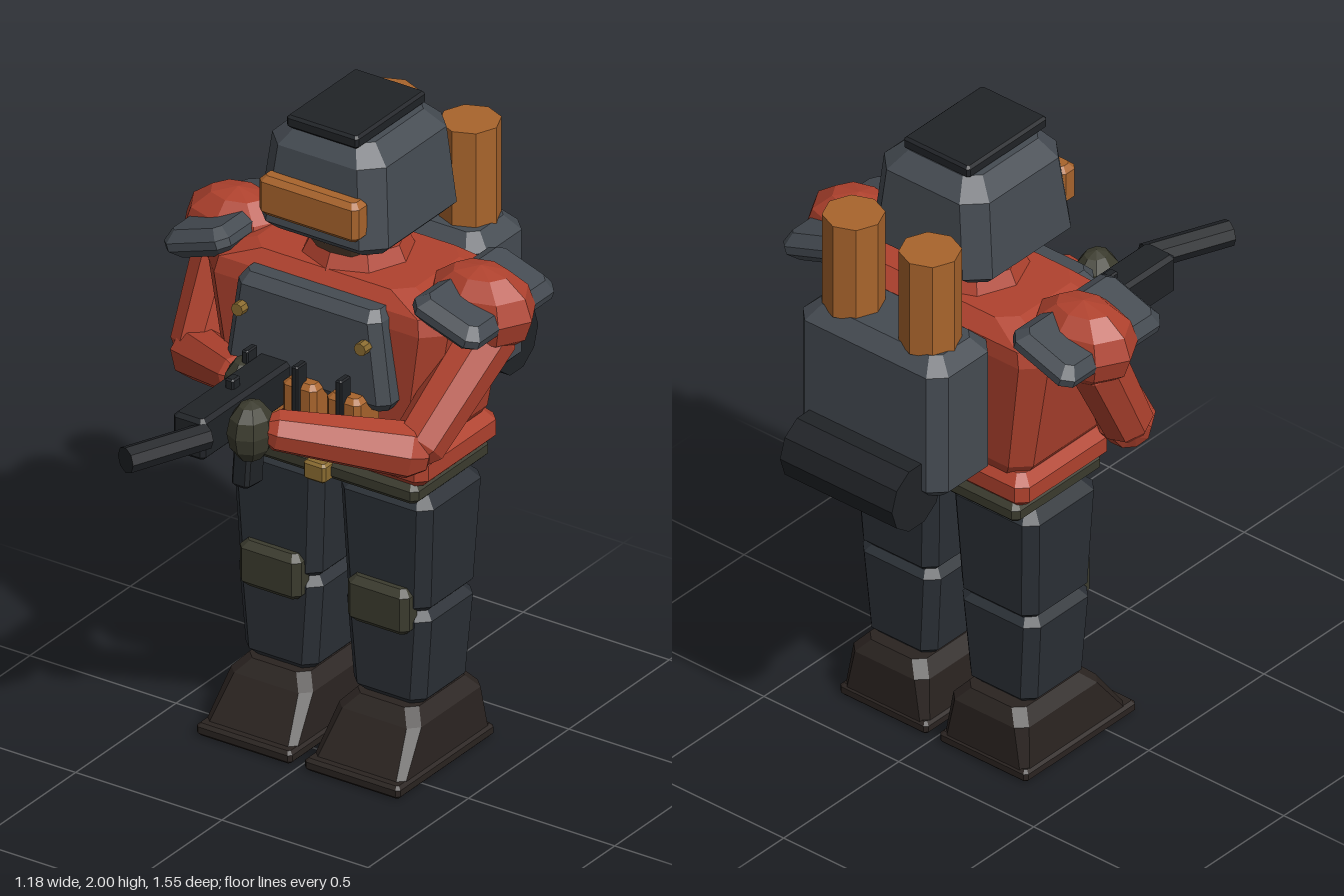
import * as THREE from 'three';

const mat = (color) => new THREE.MeshStandardMaterial({ color, flatShading: true, roughness: 0.85 });
const RED = mat(0xb0422e), GREY = mat(0x454b52), PANTS = mat(0x2b3036), BOOT = mat(0x2a2320);
const OLIVE = mat(0x3b3b2e), DARK = mat(0x202327), ORANGE = mat(0xa8642c), BRASS = mat(0x8a6b30), SKIN = mat(0x5a4433);

// Stacks chamfered rectangles: each ring is [y, xMin, xMax, zMin, zMax, cornerCut]
function loft(rings) {
  const loops = rings.map(([y, x0, x1, z0, z1, c]) => [
    [x1, z0 + c], [x1, z1 - c], [x1 - c, z1], [x0 + c, z1],
    [x0, z1 - c], [x0, z0 + c], [x0 + c, z0], [x1 - c, z0],
  ].map(([x, z]) => [x, y, z]));
  const pos = [];
  const tri = (...p) => p.forEach((v) => pos.push(...v));
  for (let r = 0; r + 1 < loops.length; r++) {
    for (let i = 0; i < 8; i++) {
      const j = (i + 1) % 8, lo = loops[r], hi = loops[r + 1];
      tri(lo[i], hi[i], hi[j]);
      tri(lo[i], hi[j], lo[j]);
    }
  }
  const bottom = loops[0], top = loops[loops.length - 1];
  for (let i = 1; i < 7; i++) {
    tri(bottom[0], bottom[i], bottom[i + 1]);
    tri(top[0], top[i + 1], top[i]);
  }
  const g = new THREE.BufferGeometry();
  g.setAttribute('position', new THREE.Float32BufferAttribute(pos, 3));
  g.computeVertexNormals();
  return g;
}

// Bevelled block tapering between a bottom and a top rectangle [xMin, xMax, zMin, zMax]
function block(y0, y1, b, t, c) {
  const inset = ([x0, x1, z0, z1]) => [x0 + c, x1 - c, z0 + c, z1 - c];
  return loft([
    [y0, ...inset(b), c * 0.6], [y0 + c, ...b, c],
    [y1 - c, ...t, c], [y1, ...inset(t), c * 0.6],
  ]);
}

// Bevelled box centred on the origin
const box = (w, h, d, c) => {
  const r = [-w / 2, w / 2, -d / 2, d / 2];
  return block(-h / 2, h / 2, r, r, c);
};

export function createModel() {
  const model = new THREE.Group();
  const add = (name, geo, material, x = 0, y = 0, z = 0) => {
    const m = new THREE.Mesh(geo, material);
    m.name = name;
    m.position.set(x, y, z);
    model.add(m);
    return m;
  };
  // Eight-sided limb segment with bevelled ends
  const limb = (name, a, b, ra, rb) => {
    const A = new THREE.Vector3(...a), B = new THREE.Vector3(...b);
    const len = A.distanceTo(B);
    const profile = [
      [0, -ra * 0.75], [ra * 0.65, -ra * 0.6], [ra, 0],
      [rb, len], [rb * 0.65, len + rb * 0.5], [0, len + rb * 0.6],
    ].map(([r, y]) => new THREE.Vector2(r, y));
    const m = add(name, new THREE.LatheGeometry(profile, 8), RED, ...a);
    m.quaternion.setFromUnitVectors(new THREE.Vector3(0, 1, 0), B.sub(A).normalize());
  };

  // Legs
  for (const s of [-1, 1]) {
    const leg = new THREE.Group();
    leg.name = s < 0 ? 'rightLeg' : 'leftLeg';
    leg.position.x = s * 0.185;
    model.add(leg);
    const part = (name, geo, material) => {
      const m = new THREE.Mesh(geo, material);
      m.name = name;
      leg.add(m);
    };
    const sole = [-0.163, 0.163, -0.355, 0.127];
    part('sole', block(0, 0.04, sole, sole, 0.01), BOOT);
    part('boot', loft([
      [0.035, -0.155, 0.155, -0.35, 0.1, 0.02], [0.165, -0.14, 0.14, -0.345, 0.01, 0.03],
      [0.205, -0.105, 0.105, -0.315, -0.03, 0.03],
    ]), BOOT);
    part('shin', block(0.195, 0.52, [-0.125, 0.125, -0.295, -0.035], [-0.145, 0.145, -0.305, -0.03], 0.035), PANTS);
    part('thigh', block(0.495, 0.885, [-0.142, 0.142, -0.31, -0.03], [-0.158, 0.158, -0.325, -0.02], 0.035), PANTS);
    part('kneePad', block(0.445, 0.59, [-0.105, 0.105, -0.07, 0.008], [-0.105, 0.105, -0.07, 0.008], 0.02), OLIVE);
  }

  // Hips, belt and buckle
  add('hips', box(0.5, 0.08, 0.26, 0.02), PANTS, 0, 0.885, -0.18);
  add('belt', box(0.65, 0.065, 0.38, 0.018), OLIVE, 0, 0.91, -0.18);
  add('buckle', box(0.075, 0.06, 0.05, 0.008), BRASS, 0, 0.91, 0.02);

  // Jacket
  add('jacketHem', box(0.71, 0.11, 0.395, 0.03), RED, 0, 0.99, -0.18);
  add('torso', loft([
    [1.02, -0.31, 0.31, -0.35, 0, 0.04], [1.07, -0.345, 0.345, -0.37, 0.02, 0.05],
    [1.44, -0.41, 0.41, -0.39, 0.03, 0.06], [1.49, -0.4, 0.4, -0.385, 0.02, 0.06],
    [1.535, -0.27, 0.27, -0.34, -0.02, 0.05],
  ]), RED);
  add('collar', new THREE.CylinderGeometry(0.14, 0.17, 0.06, 8), RED, 0, 1.55, -0.18);

  // Chest armour with bolts and pouches
  add('chestPlate', loft([
    [1.19, -0.26, 0.26, -0.02, 0.07, 0.02], [1.22, -0.28, 0.28, -0.02, 0.095, 0.03],
    [1.47, -0.245, 0.245, -0.02, 0.09, 0.03], [1.5, -0.225, 0.225, -0.02, 0.06, 0.02],
  ]), GREY);
  for (const x of [-0.21, 0.21]) {
    add('bolt', new THREE.CylinderGeometry(0.02, 0.02, 0.04, 8).rotateX(Math.PI / 2), BRASS, x, 1.4, 0.1);
  }
  for (const x of [-0.16, 0.01, 0.16]) {
    add('pouch', box(0.115, 0.17, 0.12, 0.015), ORANGE, x, 1.155, 0.08);
    add('pouchStrap', box(0.022, 0.2, 0.05, 0.004), DARK, x, 1.2, 0.13);
  }

  // Shoulders
  for (const s of [-1, 1]) {
    const ball = add('shoulder', new THREE.SphereGeometry(1, 8, 6), RED, s * 0.415, 1.47, -0.185);
    ball.scale.set(0.175, 0.13, 0.13);
    const pad = add('shoulderPad', box(0.235, 0.085, 0.43, 0.03), GREY, s * 0.425, 1.497, -0.183);
    pad.rotation.z = -s * 0.33;
  }

  // Arms bent forward to the weapon
  limb('leftUpperArm', [0.45, 1.4, -0.17], [0.39, 1.14, 0.09], 0.09, 0.08);
  limb('leftForearm', [0.38, 1.13, 0.115], [0.07, 1.195, 0.33], 0.085, 0.062);
  limb('rightUpperArm', [-0.45, 1.4, -0.17], [-0.46, 1.14, -0.05], 0.09, 0.08);
  limb('rightForearm', [-0.455, 1.125, -0.04], [-0.22, 1.18, 0.1], 0.085, 0.062);
  for (const [name, ...p] of [['leftGlove', 0.012, 1.195, 0.372], ['rightGlove', -0.17, 1.175, 0.13]]) {
    add(name, new THREE.SphereGeometry(1, 8, 6), OLIVE, ...p).scale.set(0.066, 0.095, 0.078);
  }

  // Weapon
  add('gunBody', box(0.11, 0.13, 0.45, 0.012), DARK, -0.1, 1.205, 0.3);
  add('gunBarrel', new THREE.CylinderGeometry(0.04, 0.04, 0.27, 8).rotateZ(Math.PI / 8).rotateX(Math.PI / 2), DARK, -0.1, 1.22, 0.634);
  add('gunMagazine', box(0.06, 0.24, 0.085, 0.01), DARK, -0.1, 1.045, 0.218).rotation.x = -0.1;
  add('gunSight', box(0.03, 0.04, 0.04, 0.005), DARK, -0.1, 1.28, 0.3);

  // Head and helmet
  add('face', new THREE.SphereGeometry(0.16, 12, 8), SKIN, 0, 1.68, -0.16);
  add('helmet', loft([
    [1.635, -0.185, 0.185, -0.37, 0.01, 0.04], [1.67, -0.22, 0.22, -0.41, 0.05, 0.06],
    [1.91, -0.195, 0.195, -0.395, 0.025, 0.06], [1.965, -0.14, 0.14, -0.34, -0.02, 0.04],
  ]), GREY);
  add('helmetCrest', box(0.245, 0.04, 0.345, 0.008), DARK, 0, 1.98, -0.168);
  add('visor', box(0.34, 0.125, 0.07, 0.016), ORANGE, 0, 1.763, 0.045);

  // Backpack, canisters and bedroll
  add('backpack', box(0.54, 0.48, 0.26, 0.045), GREY, 0, 1.29, -0.515);
  for (const x of [-0.142, 0.142]) {
    add('canister', new THREE.CylinderGeometry(0.09, 0.09, 0.31, 8), ORANGE, x, 1.675, -0.53);
  }
  add('bedroll', new THREE.CylinderGeometry(0.107, 0.107, 0.415, 10).rotateZ(Math.PI / 2), DARK, 0, 1.085, -0.666);

  return model;
}
